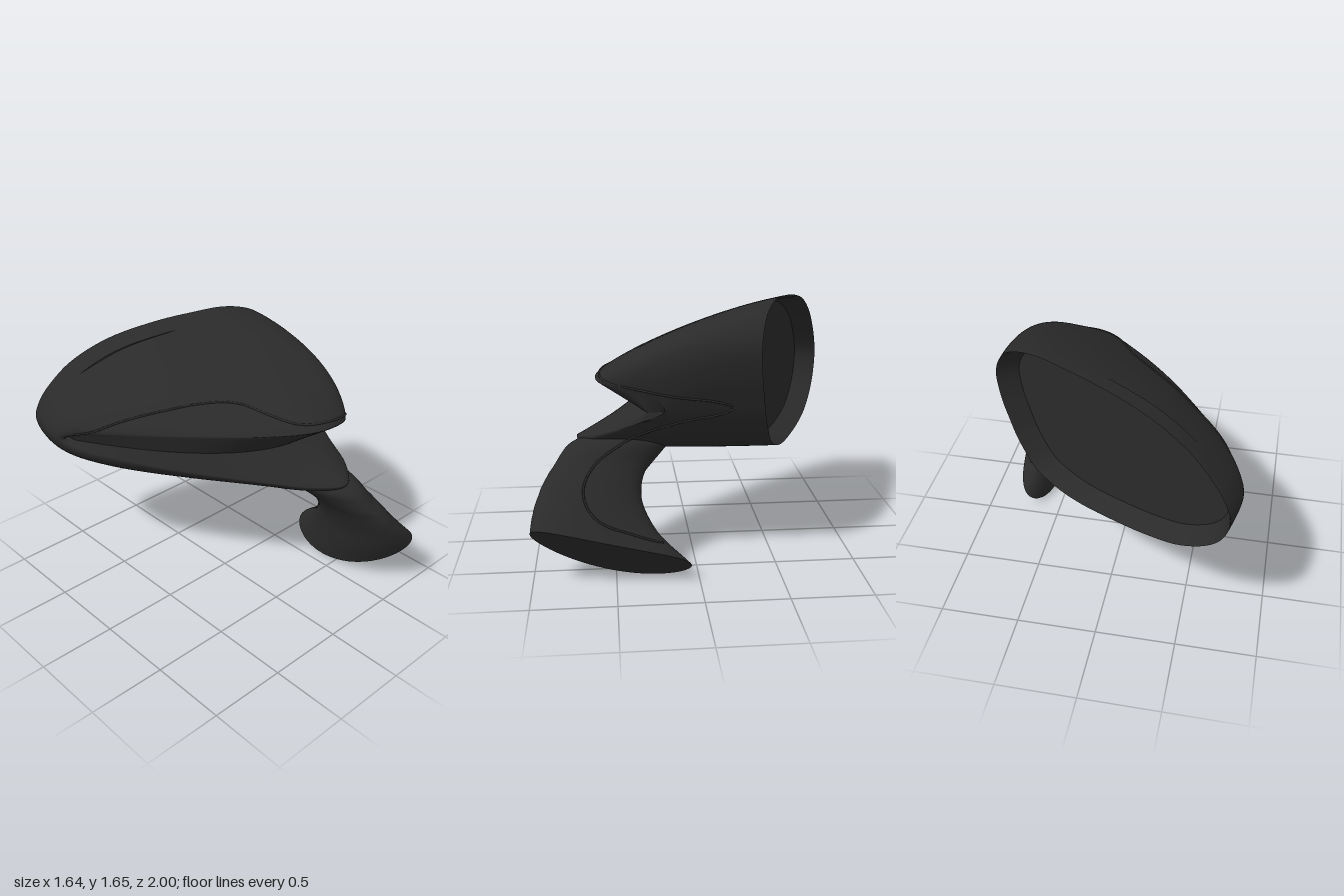
import * as THREE from 'three';

const V = (x, y, z) => new THREE.Vector3(x, y, z);
const SIDES = 132;

// Skin between closed rings of equal point count
function loft(rings, material, name) {
  const n = rings[0].length, index = [];
  for (let j = 0; j < rings.length - 1; j++) {
    for (let i = 0; i < n; i++) {
      const a = j * n + i, b = j * n + (i + 1) % n;
      index.push(a, a + n, b, b, a + n, b + n);
    }
  }
  const geometry = new THREE.BufferGeometry().setFromPoints(rings.flat());
  geometry.setIndex(index);
  geometry.computeVertexNormals();
  const mesh = new THREE.Mesh(geometry, material);
  mesh.name = name;
  return mesh;
}

// Housing stations, clockwise from the outer tip: rim x, y | lip x, y, z | bulge exponent
const STATIONS = [
  [-0.77, 1.03, -0.785, 1.03, -0.66, 2], [-0.745, 1.15, -0.75, 1.075, -0.58, 1.7],
  [-0.665, 1.275, -0.67, 1.11, -0.42, 1.45],
  [-0.53, 1.41, -0.53, 1.14, -0.2, 1.33], [-0.3, 1.535, -0.3, 1.165, 0.1, 1.25],
  [0, 1.61, 0, 1.18, 0.41, 1.21], [0.22, 1.637, 0.22, 1.19, 0.57, 1.25],
  [0.42, 1.65, 0.38, 1.19, 0.6, 1.3], [0.6, 1.61, 0.5, 1.18, 0.57, 1.5],
  [0.69, 1.52, 0.58, 1.16, 0.46, 1.8], [0.72, 1.41, 0.62, 1.13, 0.32, 2],
  [0.7, 1.26, 0.63, 1.08, 0.22, 2.2], [0.648, 1.1, 0.62, 1.02, 0.2, 2.6],
  [0.59, 0.96, 0.58, 0.95, 0.36, 3.5], [0.51, 0.83, 0.5, 0.87, 0.6, 4],
  [0.39, 0.74, 0.37, 0.83, 0.72, 3], [0.22, 0.685, 0.18, 0.83, 0.6, 2.3],
  [0, 0.668, -0.02, 0.865, 0.42, 1.7], [-0.25, 0.675, -0.25, 0.895, 0.16, 1.55],
  [-0.46, 0.71, -0.47, 0.925, -0.12, 1.55], [-0.61, 0.785, -0.62, 0.955, -0.35, 1.6],
  [-0.715, 0.885, -0.73, 0.985, -0.54, 1.75],
];
const rimZ = (x) => -0.35 + 0.436 * (x - 0.72);

// Depth line at the bottom of the front groove
const grooveZ = (x) => 0.27 + 0.56 * x - 0.85 * x * x;

function buildHousing(body) {
  const group = new THREE.Group();
  group.name = 'housing';
  const rimCurve = new THREE.CatmullRomCurve3(STATIONS.map((s) => V(s[0], s[1], s[5])), true);
  const lipCurve = new THREE.CatmullRomCurve3(STATIONS.map((s) => V(s[2], s[3], s[4])), true);
  const rim = [], lip = [], valley = [], power = [];
  for (let i = 0; i < SIDES; i++) {
    const r = rimCurve.getPoint(i / SIDES), l = lipCurve.getPoint(i / SIDES);
    power.push(r.z);
    rim.push(V(r.x, r.y, rimZ(r.x)));
    lip.push(l);
    const x = THREE.MathUtils.clamp(l.x, -0.74, 0.6);
    valley.push(V(x, 1.025, Math.min(grooveZ(x), l.z - 0.02)));
  }

  // Domed shell from rim to lip, swelling at the outer tip, then inward to the groove
  const rings = [];
  for (let j = 0; j <= 28; j++) {
    const a = (j / 28) * Math.PI / 2;
    rings.push(rim.map((r, i) => {
      const e = 2 / power[i], l = lip[i];
      const out = Math.pow(Math.max(0, Math.cos(a)), e), fore = Math.pow(Math.sin(a), e);
      const swell = 0.045 * THREE.MathUtils.smoothstep(-r.x, 0.4, 0.77) * Math.sin(2 * a);
      return V(l.x + (r.x - l.x) * out - swell, l.y + (r.y - l.y) * out, r.z + (l.z - r.z) * fore);
    }));
  }
  for (let j = 1; j <= 8; j++) rings.push(lip.map((l, i) => l.clone().lerp(valley[i], j / 8)));

  // Recessed bezel and mirror glass
  const centre = V(-0.02, 1.16, rimZ(-0.02));
  const inset = V(-0.05, 0, 0.125);
  const edge = rim.map((p) => p.clone().sub(centre).multiplyScalar(0.915).add(centre).add(inset));
  const middle = edge.map(() => centre.clone().add(inset));
  group.add(loft(rings, body, 'shell'), loft([edge, rim], body, 'bezel'),
    loft([middle, edge], body, 'mirrorGlass'));
  return group;
}

// Arm sections: left edge x, y | right edge x, y | rear z, front z | forward rise
const ARM = [
  [0.16, 0.79, 0.38, 0.91, 0.18, 0.54, 0], [0.285, 0.695, 0.515, 0.835, 0.17, 0.785, 0],
  [0.4, 0.565, 0.59, 0.7, 0.31, 0.89, 0], [0.47, 0.42, 0.665, 0.57, 0.34, 0.95, 0.02],
  [0.525, 0.22, 0.745, 0.43, 0.25, 0.985, 0.07], [0.58, 0.025, 0.82, 0.295, 0.05, 1, 0.125],
];

function buildArm(body) {
  const group = new THREE.Group();
  group.name = 'mountingArm';
  const curve = (f) => new THREE.CatmullRomCurve3(ARM.map(f));
  const centres = curve((s) => V((s[0] + s[2]) / 2, (s[1] + s[3]) / 2, (s[4] + s[5]) / 2));
  const widths = curve((s) => V((s[2] - s[0]) / 2, (s[3] - s[1]) / 2, 0));
  const lengths = curve((s) => V(s[6] * 0.1, s[6], (s[5] - s[4]) / 2));
  const bows = curve((s) => V(s[6] * 0.25, s[6] * 0.5, 0));
  const rings = [];
  for (let j = 0; j <= 40; j++) {
    const [c, w, l, b] = [centres, widths, lengths, bows].map((k) => k.getPoint(j / 40));
    rings.push(Array.from({ length: 64 }, (_, i) => {
      const a = (i / 64) * Math.PI * 2, fore = Math.cos(a);
      return c.clone().addScaledVector(l, fore).addScaledVector(w, Math.sin(a))
        .addScaledVector(b, fore * fore);
    }));
  }

  // Foot face, closed by straight ribs across the bowed outline
  const foot = rings[rings.length - 1];
  const spine = foot.map((p, i) => p.clone().lerp(foot[(64 - i) % 64], 0.5));
  group.add(loft(rings, body, 'arm'), loft([foot, spine], body, 'footFace'));
  return group;
}

// Fine raised seam projected onto the given parts along one direction
function buildSeam(points, direction, parts, material, name) {
  const path = new THREE.CatmullRomCurve3(points).getPoints(50);
  const hits = [];
  for (const p of path) {
    const ray = new THREE.Raycaster(p.clone().addScaledVector(direction, -3), direction);
    const hit = ray.intersectObjects(parts, true)[0];
    if (hit) hits.push(hit.point);
  }
  const geometry = new THREE.TubeGeometry(new THREE.CatmullRomCurve3(hits), 150, 0.007, 6);
  const mesh = new THREE.Mesh(geometry, material);
  mesh.name = name;
  return mesh;
}

export function createModel() {
  const body = new THREE.MeshStandardMaterial({ color: 0x2a2a2a });
  body.name = 'black plastic';
  body.side = THREE.DoubleSide;
  const model = new THREE.Group();
  model.name = 'wingMirror';
  const housing = buildHousing(body), arm = buildArm(body);
  model.add(housing, arm);

  // Panel seam over the brow, round the inner side and down the arm
  const brow = [[-0.76, 1.08], [-0.62, 1.18], [-0.45, 1.25], [-0.2, 1.315], [-0.02, 1.32], [0.06, 1.28],
    [0.15, 1.24], [0.35, 1.225], [0.5, 1.21], [0.58, 1.18]].map(([x, y]) => V(x, y, 0));
  const side = [[0.45, 1.185], [0.1, 1.12], [-0.1, 1.09], [-0.2, 1.05], [-0.14, 1.01], [0.05, 0.97],
    [0.25, 0.91], [0.42, 0.83], [0.6, 0.72], [0.68, 0.6], [0.67, 0.5], [0.59, 0.41],
    [0.4, 0.33], [0.22, 0.26]].map(([z, y]) => V(0, y, z));
  model.add(
    buildSeam(brow, V(0, 0, -1), [housing], body, 'browSeam'),
    buildSeam(side, V(-1, 0, 0), [housing, arm], body, 'sideSeam'),
  );
  return model;
}
